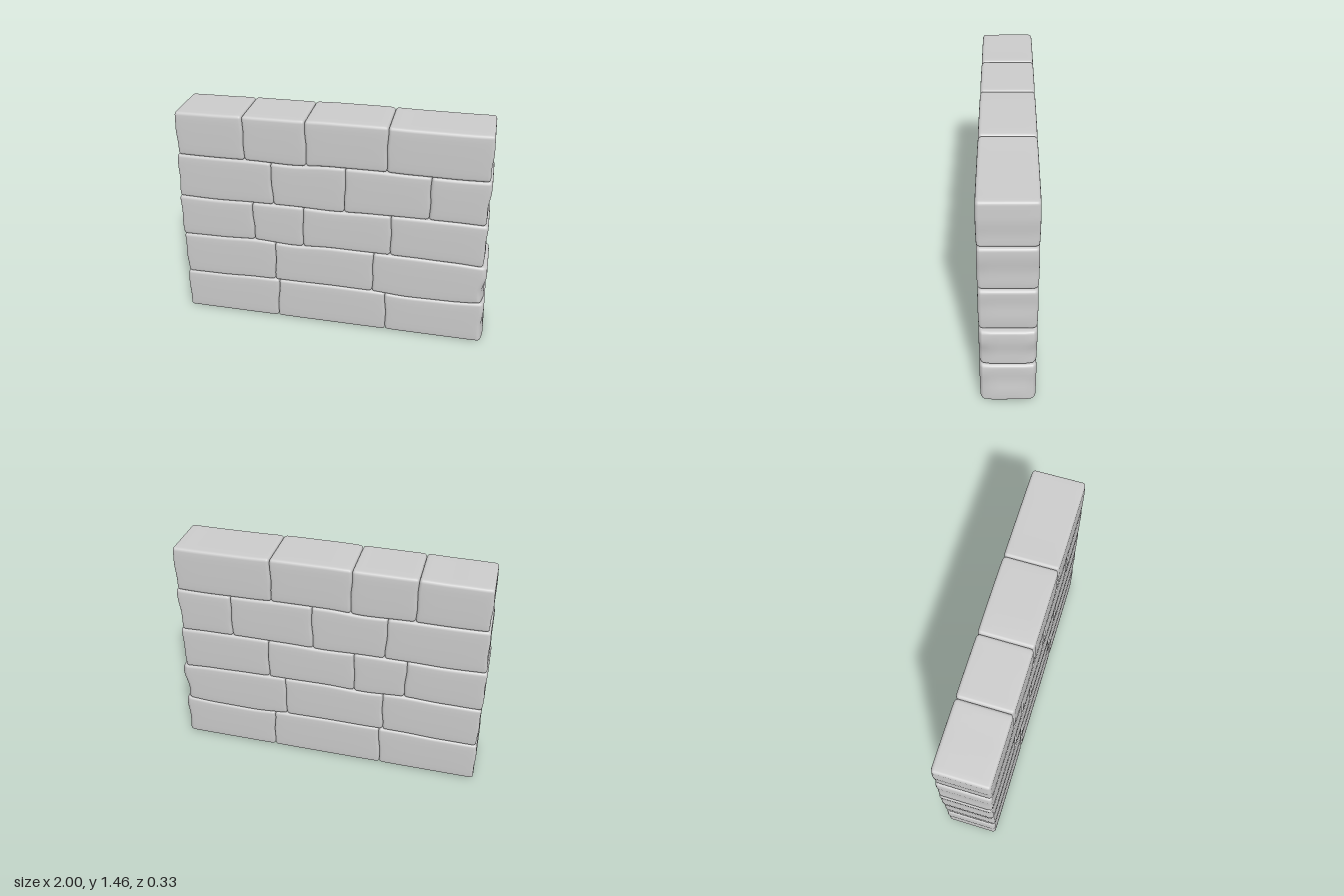
import * as THREE from 'three';
import { mergeVertices } from 'three/addons/utils/BufferGeometryUtils.js';

const HALF_DEPTH = 0.167;
const ROUND = 0.02;

// Heights of the bed joints, sampled every 0.25 from x = -1 to x = 1
const BEDS = [
  [0, 0, 0, 0, 0, 0, 0, 0, 0],
  [0.285, 0.287, 0.297, 0.298, 0.3, 0.297, 0.283, 0.287, 0.3],
  [0.58, 0.583, 0.593, 0.58, 0.592, 0.59, 0.588, 0.583, 0.572],
  [0.865, 0.86, 0.866, 0.868, 0.862, 0.87, 0.873, 0.873, 0.868],
  [1.158, 1.156, 1.158, 1.152, 1.166, 1.167, 1.162, 1.16, 1.165],
  [1.44, 1.443, 1.448, 1.45, 1.456, 1.457, 1.453, 1.453, 1.456],
];

// Upright joints of each course as [x at bottom, x at top]
const COURSES = [
  [[-0.998, -0.993], [-0.37, -0.355], [0.36, 0.35], [0.997, 0.985]],
  [[-0.985, -0.99], [-0.38, -0.37], [0.265, 0.27], [0.975, 0.98]],
  [[-0.99, -0.992], [-0.505, -0.51], [-0.185, -0.18], [0.375, 0.37], [0.953, 0.957]],
  [[-0.985, -0.975], [-0.37, -0.38], [0.08, 0.085], [0.6, 0.6], [0.942, 0.952]],
  [[-0.965, -0.965], [-0.54, -0.545], [-0.155, -0.16], [0.335, 0.335], [0.938, 0.938]],
];

// Extra bevel on the exposed right end of the lower courses
const END_BEVEL = [0.6, 0.7, 0.15, 0.15, 0];

const lerp = THREE.MathUtils.lerp;

function bedHeight(level, x) {
  const t = THREE.MathUtils.clamp((x + 1) * 4, 0, 7.999);
  const i = Math.floor(t);
  return lerp(BEDS[level][i], BEDS[level][i + 1], THREE.MathUtils.smoothstep(t - i, 0, 1));
}

function jointX(course, index, v) {
  const [bottom, top] = COURSES[course][index];
  const wobble = 0.004 * Math.sin(v * 7 + index * 2.3 + course * 1.7) * Math.sin(Math.PI * v);
  return lerp(bottom, top, v) + wobble;
}

// Places two grid lines inside each rounded edge and spaces the rest evenly
function gridPosition(p, half, n) {
  const k = Math.round((p / (2 * half) + 0.5) * n);
  const m = Math.min(k, n - k);
  if (m <= 2) return Math.sign(k - n / 2) * (half - ROUND * [0, 0.5, 1][m]);
  return lerp(-half + ROUND, half - ROUND, (k - 2) / (n - 4));
}

function stoneGeometry(course, index) {
  const joints = COURSES[course];
  const hx = (joints[index + 1][0] - joints[index][0]) / 2;
  const hy = (bedHeight(course + 1, 0) - bedHeight(course, 0)) / 2;
  const half = [hx, hy, HALF_DEPTH];
  const segments = [18, 12, 10];
  let geometry = new THREE.BoxGeometry(2 * hx, 2 * hy, 2 * HALF_DEPTH, ...segments);
  geometry.deleteAttribute('normal');
  geometry.deleteAttribute('uv');
  geometry = mergeVertices(geometry);

  const pos = geometry.attributes.position;
  const p = new THREE.Vector3();
  const inner = new THREE.Vector3();
  const limit = new THREE.Vector3(...half).subScalar(ROUND);
  const negLimit = limit.clone().negate();
  for (let i = 0; i < pos.count; i++) {
    p.fromBufferAttribute(pos, i);
    p.set(...p.toArray().map((c, a) => gridPosition(c, half[a], segments[a])));

    // Round the edges
    inner.copy(p).clamp(negLimit, limit);
    p.sub(inner);
    if (p.lengthSq() > 1e-10) p.setLength(Math.min(ROUND, Math.max(Math.abs(p.x), Math.abs(p.y), Math.abs(p.z))));
    p.add(inner);

    // Fit the stone between its uneven joints
    const u = p.x / (2 * hx) + 0.5;
    const v = p.y / (2 * hy) + 0.5;
    let x = lerp(jointX(course, index, v), jointX(course, index + 1, v), u);
    const y = lerp(bedHeight(course, x), bedHeight(course + 1, x), v);

    // Worn corners on the outer right end
    if (index === joints.length - 2) {
      const wear = Math.max(0, Math.abs(p.z) - 0.135 + 0.012 * Math.sin(v * 6));
      x -= END_BEVEL[course] * wear * THREE.MathUtils.smoothstep(u, 0.9, 1);
    }

    // Faint hand-cut swelling of the front and back faces
    const swell = 1 - 0.015 * Math.pow(Math.abs(2 * v - 1), 3) - 0.01 * Math.pow(Math.abs(2 * u - 1), 6);
    pos.setXYZ(i, x, y, p.z * swell);
  }
  geometry.computeVertexNormals();
  return geometry;
}

export function createModel() {
  const wall = new THREE.Group();
  wall.name = 'stoneWall';
  const material = new THREE.MeshStandardMaterial({ color: 0xcccccc });

  COURSES.forEach((joints, course) => {
    const row = new THREE.Group();
    row.name = `course${course + 1}`;
    for (let i = 0; i < joints.length - 1; i++) {
      const stone = new THREE.Mesh(stoneGeometry(course, i), material);
      stone.name = `stone${i + 1}`;
      row.add(stone);
    }
    wall.add(row);
  });
  return wall;
}
